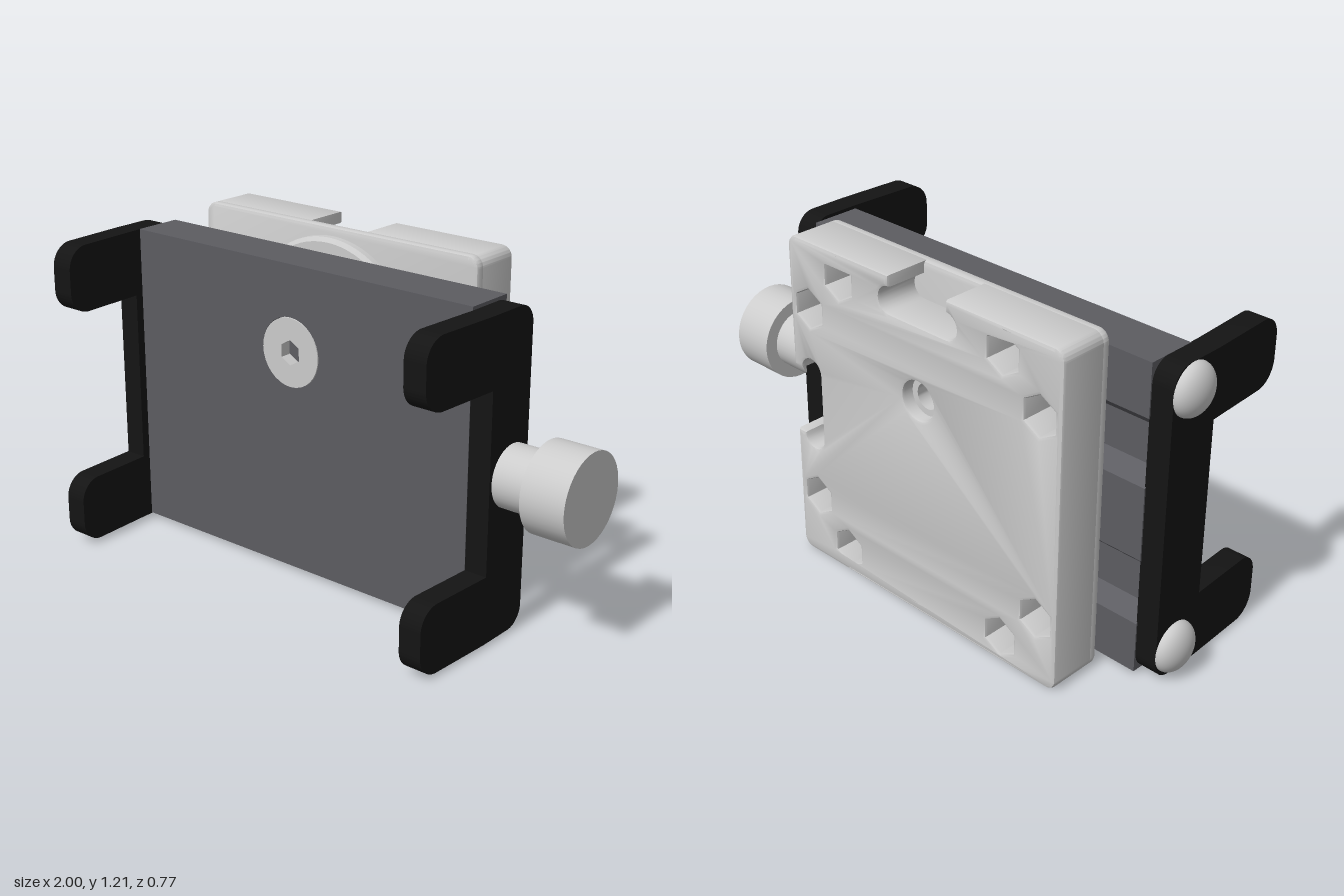
import * as THREE from 'three';
import { toCreasedNormals } from 'three/addons/utils/BufferGeometryUtils.js';

const grey = new THREE.MeshStandardMaterial({ color: 0xcccccc });
const slate = new THREE.MeshStandardMaterial({ color: 0x5c5c61 });
const black = new THREE.MeshStandardMaterial({ color: 0x141414 });

const CX = -0.145, SCREW_Y = 0.815, ROD_Z = -0.048, MID_Y = 0.57;

// Extrude from z0 to z1, keeping the outline size when bevelled by b
function extrude(shape, z0, z1, b = 0) {
  const g = new THREE.ExtrudeGeometry(shape, {
    depth: z1 - z0 - 2 * b, curveSegments: 16, bevelEnabled: b > 0,
    bevelThickness: b, bevelSize: b, bevelOffset: -b, bevelSegments: 2,
  });
  g.translate(0, 0, z0 + b);
  return toCreasedNormals(g, 0.6);
}

// Extrude a side profile, drawn as (-z, y), along x
const extrudeX = (shape, x0, x1) => extrude(shape, x0, x1).rotateY(Math.PI / 2);

function circle(r, x = 0, y = 0, sides = 0) {
  if (!sides) return new THREE.Shape().absarc(x, y, r, 0, Math.PI * 2);
  const pts = [];
  for (let i = 0; i < sides; i++) {
    const a = (i + 0.5) / sides * Math.PI * 2;
    pts.push(new THREE.Vector2(x + r * Math.cos(a), y + r * Math.sin(a)));
  }
  return new THREE.Shape(pts);
}

// Rectangle with its own radius at each corner (bottom left, bottom right, top right, top left)
function roundedRect(x0, y0, x1, y1, [a, b, c, d]) {
  const s = new THREE.Shape();
  const arc = (x, y, r, q) => (r ? s.absarc(x, y, r, q * Math.PI / 2, (q + 1) * Math.PI / 2) : s.lineTo(x, y));
  s.moveTo(x0, y0 + a);
  arc(x0 + a, y0 + a, a, 2);
  arc(x1 - b, y0 + b, b, 3);
  arc(x1 - c, y1 - c, c, 0);
  arc(x0 + d, y1 - d, d, 1);
  return s;
}

// Rod, knob or disc along x
function rodX(r, x0, x1) {
  return new THREE.CylinderGeometry(r, r, x1 - x0, 40).rotateZ(Math.PI / 2).translate((x0 + x1) / 2, 0, 0);
}

// Block outline with a keyhole-like notch in the top and the +x side
function notchedOutline(w, h, r) {
  const notch = [[0.125, 0]];
  for (let i = 0; i <= 10; i++) {
    const a = i / 10 * Math.PI;
    notch.push([0.125 + 0.045 * Math.sin(a), 0.085 - 0.045 * Math.cos(a)]);
  }
  const full = [...notch, ...notch.map(([u, d]) => [-u, d]).reverse()];
  const s = new THREE.Shape();
  s.moveTo(-w, -h + r);
  s.absarc(-w + r, -h + r, r, Math.PI, Math.PI * 1.5);
  s.absarc(w - r, -h + r, r, Math.PI * 1.5, Math.PI * 2);
  full.forEach(([u, d]) => s.lineTo(w - d, -u));
  s.absarc(w - r, h - r, r, 0, Math.PI / 2);
  full.forEach(([u, d]) => s.lineTo(u, h - d));
  s.absarc(-w + r, h - r, r, Math.PI / 2, Math.PI);
  return s;
}

export function createModel() {
  const model = new THREE.Group();
  const add = (name, geo, mat, x = 0, y = 0, z = 0, parent = model) => {
    const m = new THREE.Mesh(geo, mat);
    m.name = name;
    m.position.set(x, y, z);
    parent.add(m);
    return m;
  };

  // Plate: flat face with a screw hole, ribbed back
  const plate = new THREE.Group();
  plate.name = 'plate';
  model.add(plate);
  const face = roundedRect(-0.865, 0.015, 0.6, 1.125, [0, 0, 0, 0]);
  face.holes.push(circle(0.125, CX, SCREW_Y));
  add('plateFace', extrude(face, 0, 0.04), slate, 0, 0, 0, plate);
  const half = [[0.14, 0.555], [0.14, 0.37], [0.085, 0.32], [0.085, 0.18], [0.14, 0.13]];
  const ribs = new THREE.Shape([
    [0, -0.555], [0.14, -0.555], ...half.slice(1).map(([z, y]) => [z, -y]),
    ...half.slice().reverse(), [0, 0.555],
  ].map(([z, y]) => new THREE.Vector2(z, y + MID_Y)));
  add('plateRibs', extrudeX(ribs, -0.865, 0.6), slate, 0, 0, 0, plate);

  // Flush screw with a hex socket
  const head = circle(0.123);
  head.holes.push(circle(0.045, 0, 0, 6));
  add('faceScrew', extrude(head, 0, 0.042), grey, CX, SCREW_Y, 0);

  // Side brackets: upright and two arms leaning inwards
  for (const side of [-1, 1]) {
    const bracket = new THREE.Group();
    bracket.name = side < 0 ? 'rightBracket' : 'leftBracket';
    model.add(bracket);
    const [x0, x1] = side < 0 ? [-0.945, -0.862] : [0.622, 0.705];
    const upright = roundedRect(-0.07, 0.012, 0.135, 1.125, [0, 0.07, 0.07, 0]);
    add('upright', extrudeX(upright, x0, x1), black, 0, 0, 0, bracket);
    for (const [y0, y1] of [[0.012, 0.255], [0.885, 1.125]]) {
      const arm = extrudeX(roundedRect(-0.39, y0, -0.07, y1, [0.08, 0, 0, 0.08]), x0, x1);
      const p = arm.attributes.position;
      for (let i = 0; i < p.count; i++) p.setX(i, p.getX(i) - side * 0.05 * (p.getZ(i) - 0.07));
      add('arm', arm, black, 0, 0, 0, bracket);
    }
  }

  // Guide bolts with domed heads
  for (const y of [0.11, 1.035]) {
    add('guideBolt', rodX(0.05, -0.94, 0.64), grey, 0, y, ROD_Z);
    const dome = new THREE.SphereGeometry(0.09, 40, 12, 0, Math.PI * 2, 0, Math.PI / 2);
    dome.scale(1, 0.055 / 0.09, 1).rotateZ(Math.PI / 2);
    add('boltHead', dome, grey, -0.945, y, ROD_Z);
  }

  // Clamping screw and knob
  add('clampRod', rodX(0.055, 0.55, 0.72), grey, 0, MID_Y, ROD_Z);
  add('knobNeck', rodX(0.108, 0.7, 0.85), grey, 0, MID_Y, ROD_Z);
  add('knob', rodX(0.156, 0.84, 1), grey, 0, MID_Y, ROD_Z);

  // Mounting block: pocketed back and solid front wall
  const W = 0.6, H = 0.6025, block = new THREE.Group();
  block.name = 'mountingBlock';
  block.position.set(CX, H, 0);
  model.add(block);
  const back = notchedOutline(W, H, 0.04);
  for (const sx of [-1, 1]) for (const sy of [-1, 1])
    for (const [x, y] of [[0.36, 0.51], [0.51, 0.36]]) back.holes.push(circle(0.07, sx * x, sy * y, 6));
  back.holes.push(circle(0.068, 0, SCREW_Y - H));
  add('blockBack', extrude(back, -0.385, -0.203, 0.012), grey, 0, 0, 0, block);
  const wall = roundedRect(-W, -H, W, H, [0.04, 0.04, 0.04, 0.04]);
  add('blockFront', extrude(wall, -0.227, -0.185, 0.012), grey, 0, 0, 0, block);
  const seat = circle(0.07);
  seat.holes.push(circle(0.045));
  add('holeSeat', extrude(seat, -0.34, -0.22), grey, 0, SCREW_Y - H, 0, block);

  // Round swivel disc between block and plate
  const profile = [[0, 0], [0.36, 0], [0.36, 0.028], [0.345, 0.04], [0.3, 0.04], [0.3, 0.034], [0, 0.034]];
  const disc = new THREE.LatheGeometry(profile.map(([r, h]) => new THREE.Vector2(r, h)), 72);
  add('swivelDisc', toCreasedNormals(disc.rotateX(Math.PI / 2), 0.5), grey, CX, SCREW_Y, -0.19);
  const pad = new THREE.CylinderGeometry(0.3, 0.3, 0.025, 64).rotateX(Math.PI / 2);
  add('swivelPad', pad, slate, CX, SCREW_Y, -0.148);

  return model;
}
